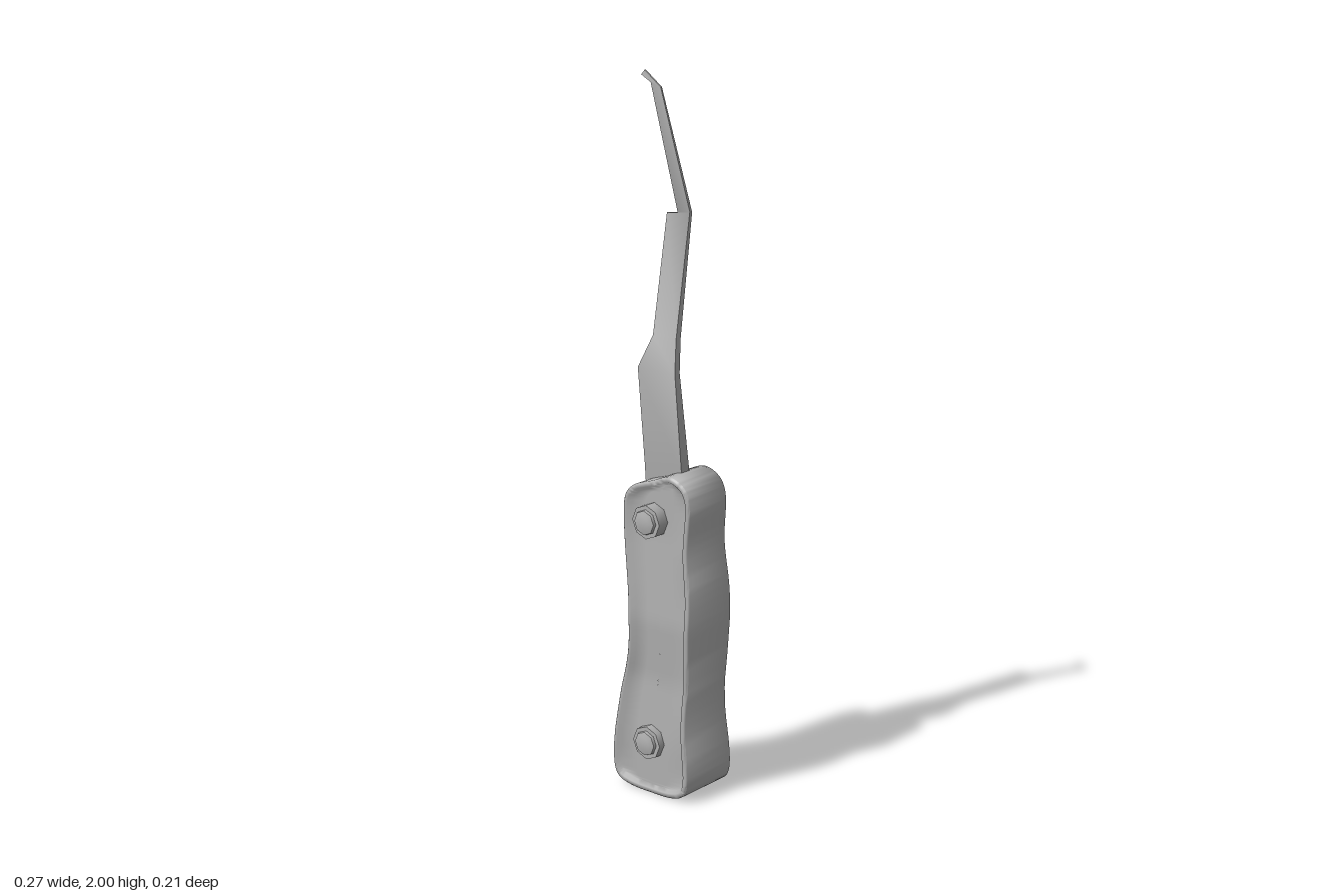
import * as THREE from 'three';
import { toCreasedNormals } from 'three/addons/utils/BufferGeometryUtils.js';

const steel = new THREE.MeshStandardMaterial({ color: 0xb0b0b0 });
steel.name = 'grey steel';

// Linear lookup in a list of [y, value]
function lookup(table, y) {
  if (y <= table[0][0]) return table[0][1];
  for (let i = 1; i < table.length; i++) {
    const [y0, v0] = table[i - 1], [y1, v1] = table[i];
    if (y <= y1) return v0 + (v1 - v0) * (y - y0) / (y1 - y0);
  }
  return table[table.length - 1][1];
}

// Joins equal-sized loops of points into a skin
function loft(rings, crease, caps = []) {
  const n = rings[0].length, index = [...caps];
  for (let k = 0; k < rings.length - 1; k++) {
    for (let i = 0; i < n; i++) {
      const j = (i + 1) % n;
      const a = k * n + i, b = k * n + j, c = a + n, d = b + n;
      index.push(a, c, d, a, d, b);
    }
  }
  const geo = new THREE.BufferGeometry();
  geo.setAttribute('position', new THREE.Float32BufferAttribute(rings.flat(2), 3));
  geo.setIndex(index);
  return toCreasedNormals(geo, crease);
}

// Handle: wavy outline with a thin rim and a shallow panel on both faces
function handleGeometry() {
  const outline = [
    [-0.08, 0.004], [0, 0], [0.08, 0.004], [0.116, 0.02], [0.131, 0.055], [0.12, 0.23], [0.13, 0.42],
    [0.134, 0.58], [0.119, 0.72], [0.124, 0.86], [0.104, 0.9], [0.055, 0.921], [-0.01, 0.9],
    [-0.075, 0.876], [-0.103, 0.845], [-0.109, 0.77], [-0.083, 0.53], [-0.087, 0.41],
    [-0.117, 0.27], [-0.136, 0.055], [-0.119, 0.018],
  ].map(([x, y]) => new THREE.Vector3(x, y, 0));
  const pts = new THREE.CatmullRomCurve3(outline, true, 'centripetal').getPoints(126).slice(0, -1);
  const n = pts.length;
  const front = [[0, 0.086], [0.15, 0.086], [0.33, 0.075], [0.5, 0.085], [0.75, 0.071], [0.92, 0.069]];
  const back = [[0, 0.107], [0.15, 0.106], [0.31, 0.093], [0.5, 0.101], [0.75, 0.092], [0.92, 0.088]];
  const spine = [[0, 0], [0.055, -0.002], [0.23, 0], [0.42, 0.022], [0.55, 0.025], [0.72, 0.01], [0.84, 0.01], [0.876, 0.02], [0.92, 0.055]];
  const rimF = (y) => lookup(front, y), rimB = (y) => -lookup(back, y);

  // Outline moved inwards, then drawn towards the spine by the width factor
  const ring = (inset, z, width = 1) => pts.map((p, i) => {
    const t = pts[(i + 1) % n].clone().sub(pts[(i + n - 1) % n]).normalize();
    const x = p.x - t.y * inset, y = p.y + t.x * inset, mid = lookup(spine, y);
    return [mid + (x - mid) * width, y, z(y)];
  });
  const floorF = (y) => rimF(y) - 0.011, floorB = (y) => rimB(y) + 0.011;
  return loft([
    ring(0.022, floorF, 0),
    ring(0.022, floorF, 0.5),
    ring(0.022, floorF),
    ring(0.014, rimF),
    ring(0.004, rimF),
    ring(0, (y) => rimF(y) - 0.004),
    ring(0, (y) => rimB(y) + 0.004),
    ring(0.004, rimB),
    ring(0.014, rimB),
    ring(0.022, floorB),
    ring(0.022, floorB, 0.5),
    ring(0.022, floorB, 0),
  ], 1);
}

// Blade: flat bar bent along its length, rows of [y, left, right, front z, back z, tilt]
function bladeGeometry() {
  const rows = [
    [0.8, -0.08, 0.05, 0.003, -0.032, 0],
    [0.92, -0.08, 0.05, 0.012, -0.021, 0],
    [1.2, -0.08, 0.05, 0.04, 0.02, 0],
    [1.285, -0.057, 0.024, 0.004, -0.015, 0],
    [1.61, -0.057, 0.022, -0.054, -0.064, 0.008],
    [1.612, -0.02, 0.022, -0.055, -0.064, 0.006],
    [1.96, -0.017, 0.017, 0.058, 0.053, 0],
  ];
  const rings = rows.map(([y, l, r, f, b, tilt]) => [[l, y, f], [l, y, b], [r, y + tilt, b], [r, y + tilt, f]]);
  // Hooked tip turned sideways
  rings[6][0][1] = rings[6][1][1] = 1.97;
  rings.push([[-0.052, 1.987, 0.055], [-0.052, 1.987, 0.05], [-0.04, 2.0, 0.05], [-0.04, 2.0, 0.055]]);
  const e = (rings.length - 1) * 4;
  return loft(rings, 0.8, [0, 1, 2, 0, 2, 3, e, e + 2, e + 1, e, e + 3, e + 2]);
}

// Bolt turned around its axis, profile of [radius, z]
function bolt(name, profile, y, flip) {
  const geo = new THREE.LatheGeometry(profile.map(([r, z]) => new THREE.Vector2(r, z)), 8);
  geo.rotateX(flip ? -Math.PI / 2 : Math.PI / 2);
  const mesh = new THREE.Mesh(toCreasedNormals(geo, 0.8), steel);
  mesh.name = name;
  mesh.position.set(-0.006, y, 0);
  return mesh;
}

export function createModel() {
  const group = new THREE.Group();
  group.name = 'handTool';

  const handle = new THREE.Mesh(handleGeometry(), steel);
  handle.name = 'handle';
  const blade = new THREE.Mesh(bladeGeometry(), steel);
  blade.name = 'blade';
  group.add(handle, blade);

  // Two bolts through the handle, with raised heads in front and low ends behind
  const head = [[0.048, 0.05], [0.048, 0.095], [0.036, 0.095], [0.034, 0.103], [0.018, 0.107], [0, 0.108]];
  for (const [y, endZ] of [[0.15, 0.104], [0.79, 0.094]]) {
    const end = [[0.044, 0.06], [0.044, endZ - 0.004], [0.036, endZ], [0, endZ]];
    group.add(bolt('boltHead', head, y, false), bolt('boltEnd', end, y, true));
  }
  return group;
}
